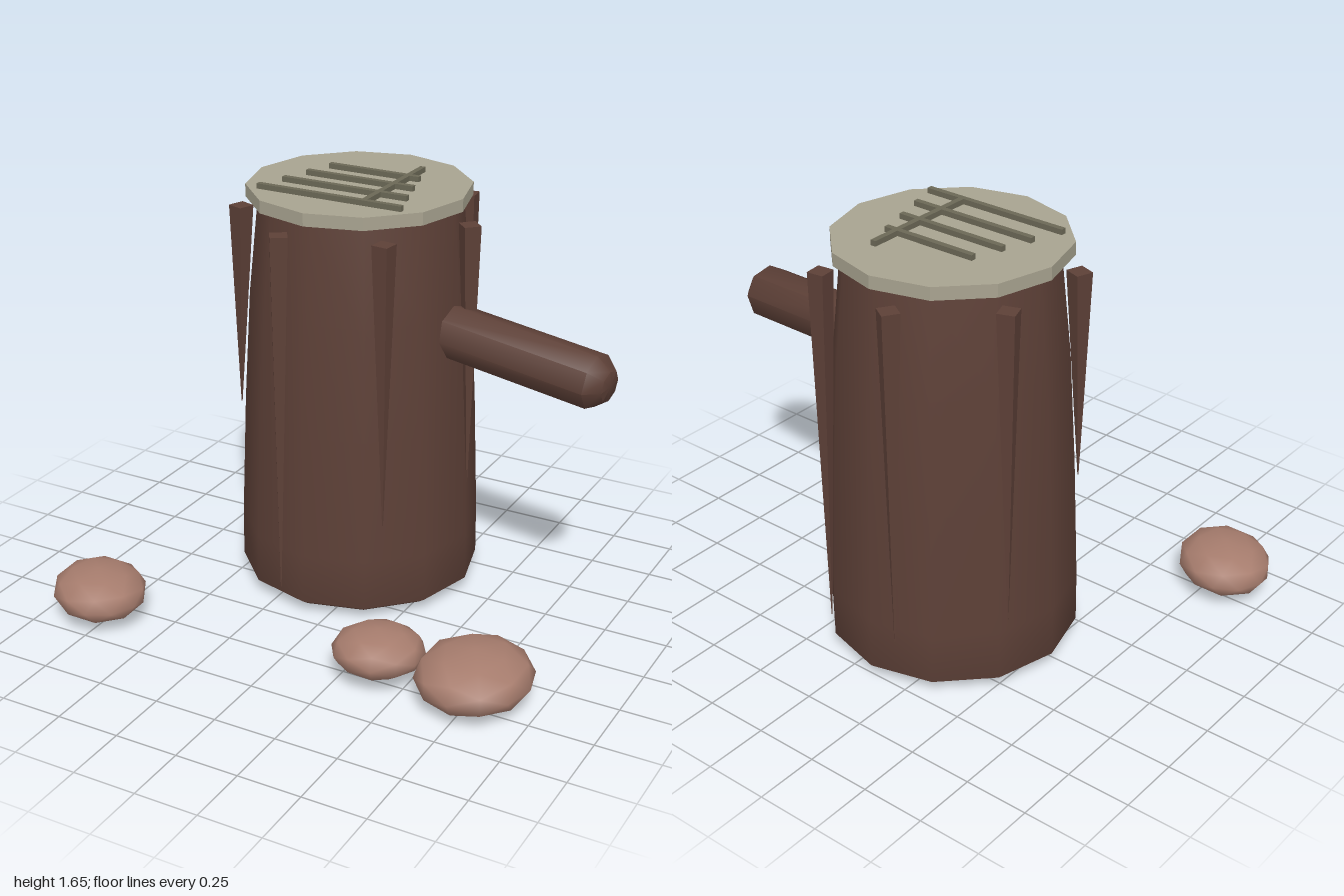
import * as THREE from 'three';
import { mergeVertices, toCreasedNormals } from 'three/addons/utils/BufferGeometryUtils.js';

const mat = (name, color) => {
  const m = new THREE.MeshStandardMaterial({ color });
  m.name = name;
  return m;
};

export function createModel() {
  const group = new THREE.Group();
  group.name = 'treeStump';
  const bark = mat('bark brown', 0x5d4037);
  const wood = mat('pale cut wood', 0xa8a390);
  const grain = mat('dark grain', 0x6b6856);
  const stone = mat('reddish pebble', 0xa67c6d);
  const CX = -0.1, CZ = -0.285;
  const V = (x, y) => new THREE.Vector2(x, y);

  const add = (name, geometry, material, x, y, z, parent = group) => {
    const mesh = new THREE.Mesh(geometry, material);
    mesh.name = name;
    mesh.position.set(x, y, z);
    parent.add(mesh);
    return mesh;
  };

  // Trunk: twelve sides, slightly flared, with a soft bottom edge
  const profile = [V(0, 0.02), V(0.44, 0.022), V(0.48, 0.05), V(0.478, 0.25),
    V(0.458, 0.75), V(0.432, 1.2), V(0.395, 1.57), V(0.38, 1.59), V(0, 1.59)];
  add('trunk', new THREE.LatheGeometry(profile, 12), bark, CX, 0, CZ);

  // Bark strips: square spikes pointing down, set around the trunk
  const tips = [0.48, 0.41, 0.08, 0.72, 0.3, 0.2, 0.09];
  const topY = 1.54;
  tips.forEach((tipY, i) => {
    const holder = new THREE.Group();
    holder.name = 'barkStrip' + (i + 1);
    holder.position.set(CX, 0, CZ);
    holder.rotation.y = -i * Math.PI * 2 / tips.length;
    group.add(holder);
    const h = topY - tipY;
    const geo = new THREE.CylinderGeometry(0.047, 0.002, h, 4).toNonIndexed();
    const p = geo.attributes.position;
    // Lean each tip outward so it follows the flare
    for (let k = 0; k < p.count; k++) {
      const t = 0.5 - p.getY(k) / h;
      p.setX(k, p.getX(k) + t * 0.016);
    }
    geo.computeVertexNormals();
    add('strip', geo, bark, 0.46, topY - h / 2, 0, holder);
  });

  // Branch stub with a blunt, bevelled end
  const from = new THREE.Vector3(0.22, 1.124, -0.277);
  const to = new THREE.Vector3(0.985, 1.058, -0.167);
  const dir = to.clone().sub(from);
  const L = dir.length();
  const branchGeo = new THREE.LatheGeometry(
    [V(0, 0), V(0.108, 0.02), V(0.108, L - 0.055), V(0.062, L), V(0, L + 0.005)], 8);
  const branch = add('branch', toCreasedNormals(branchGeo, 0.85), bark, from.x, from.y, from.z);
  branch.quaternion.setFromUnitVectors(new THREE.Vector3(0, 1, 0), dir.normalize());

  // Cut top
  const disc = new THREE.CylinderGeometry(0.435, 0.435, 0.05, 12);
  add('cutTop', toCreasedNormals(disc, 0.3), wood, -0.105, 1.61, -0.283);

  // Grain bars lying on the cut top: [x0, x1, z0, z1]
  [[-0.30, 0.09, -0.415, -0.393], [-0.335, 0.125, -0.295, -0.273],
    [-0.37, 0.16, -0.175, -0.153], [-0.41, 0.2, -0.052, -0.03],
    [0.03, 0.052, -0.53, -0.052]].forEach(([x0, x1, z0, z1], i) => {
    add('grainBar' + (i + 1), new THREE.BoxGeometry(x1 - x0, 0.025, z1 - z0), grain,
      (x0 + x1) / 2, 1.643, (z0 + z1) / 2);
  });

  // Flattened pebbles: centre, half sizes, turn
  const ball = new THREE.IcosahedronGeometry(1, 1);
  ball.deleteAttribute('normal');
  ball.deleteAttribute('uv');
  const pebbleGeo = mergeVertices(ball, 1e-4);
  pebbleGeo.computeVertexNormals();
  [[[-0.797, 0.108, 0.577], [0.215, 0.094, 0.183], -0.75],
    [[0.38, 0.117, 0.465], [0.178, 0.088, 0.168], 0.3],
    [[0.76, 0.11, 0.443], [0.22, 0.109, 0.238], 0]].forEach(([c, s, turn], i) => {
    const pebble = add('pebble' + (i + 1), pebbleGeo, stone, ...c);
    pebble.scale.set(...s);
    pebble.rotation.y = turn;
  });

  return group;
}
